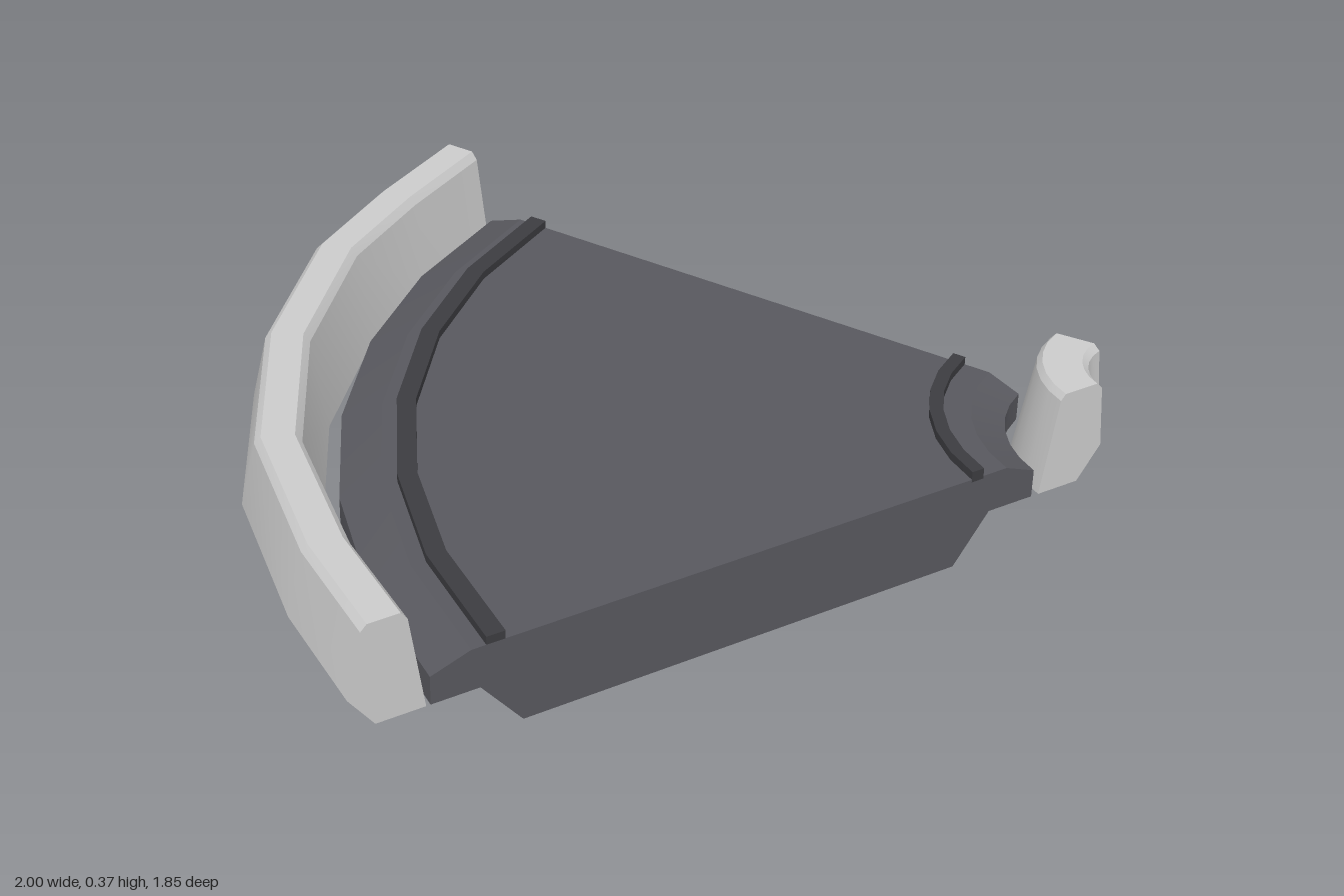
import * as THREE from 'three';
import { toCreasedNormals } from 'three/addons/utils/BufferGeometryUtils.js';

const CENTRE = { x: 1.03, z: 0.925 };
const SWEEP = 64.7;

// Sweeps a closed counter-clockwise [radius, height] profile around the bend centre.
// station(j, r) gives [angle in degrees, radius] for each of the seven stations.
function sweepProfile(profile, station, count = 7) {
  const n = profile.length, pos = [], index = [];
  for (let j = 0; j < count; j++) {
    for (const [r, y] of profile) {
      const [deg, radius] = station(j, r);
      const a = THREE.MathUtils.degToRad(deg);
      pos.push(CENTRE.x - radius * Math.cos(a), y, CENTRE.z - radius * Math.sin(a));
    }
  }
  for (let j = 0; j < count - 1; j++) {
    for (let i = 0; i < n; i++) {
      const a = j * n + i, b = j * n + (i + 1) % n;
      index.push(a, b, b + n, a, b + n, a + n);
    }
  }
  // End caps
  const outline = profile.map(([r, y]) => new THREE.Vector2(r, y));
  const last = (count - 1) * n;
  for (const [a, b, c] of THREE.ShapeUtils.triangulateShape(outline, [])) {
    index.push(a, c, b, last + a, last + b, last + c);
  }
  const geometry = new THREE.BufferGeometry();
  geometry.setAttribute('position', new THREE.Float32BufferAttribute(pos, 3));
  geometry.setIndex(index);
  return toCreasedNormals(geometry, 0.28);
}

export function createModel() {
  const group = new THREE.Group();
  const wallMaterial = new THREE.MeshStandardMaterial({ color: 0xcccccc });
  const roadMaterial = new THREE.MeshStandardMaterial({ color: 0x58585e });
  const stripMaterial = new THREE.MeshStandardMaterial({ color: 0x3c3c40 });

  const add = (name, profile, station, material) => {
    const mesh = new THREE.Mesh(sweepProfile(profile, station), material);
    mesh.name = name;
    group.add(mesh);
  };
  const even = (j, r) => [SWEEP * j / 6, r];

  // Road slab with bevelled shoulders and a narrower foundation
  add('roadSlab', [
    [0.52, 0], [1.63, 0], [1.73, 0.12], [1.845, 0.12], [1.845, 0.19], [1.75, 0.222],
    [0.39, 0.222], [0.31, 0.19], [0.31, 0.12], [0.43, 0.12],
  ], even, roadMaterial);

  // Raised edge strips
  for (const [name, inner, outer] of [['outerStrip', 1.67, 1.715], ['innerStrip', 0.455, 0.487]]) {
    add(name, [[inner, 0.215], [outer, 0.215], [outer, 0.242], [inner, 0.242]], even, stripMaterial);
  }

  // Outer wall, bulging slightly in the middle of the bend
  const wallAngles = [0, 8.9, 21.3, 34.3, 47, 56, 65];
  const wallBulge = [0, 0.005, 0.03, 0.03, 0.026, 0.004, 0.006];
  add('outerWall', [
    [1.97, 0.12], [2.03, 0.2], [1.995, 0.355], [1.98, 0.37],
    [1.905, 0.37], [1.89, 0.35], [1.855, 0.12],
  ], (j, r) => [wallAngles[j], r + wallBulge[j]], wallMaterial);

  // Inner wall, its far end cut a little askew
  add('innerWall', [
    [0.18, 0.12], [0.29, 0.12], [0.252, 0.355], [0.24, 0.37],
    [0.15, 0.37], [0.135, 0.355], [0.12, 0.2],
  ], (j, r) => [(66 + (0.29 - r) * 59) * j / 6, r], wallMaterial);

  return group;
}
